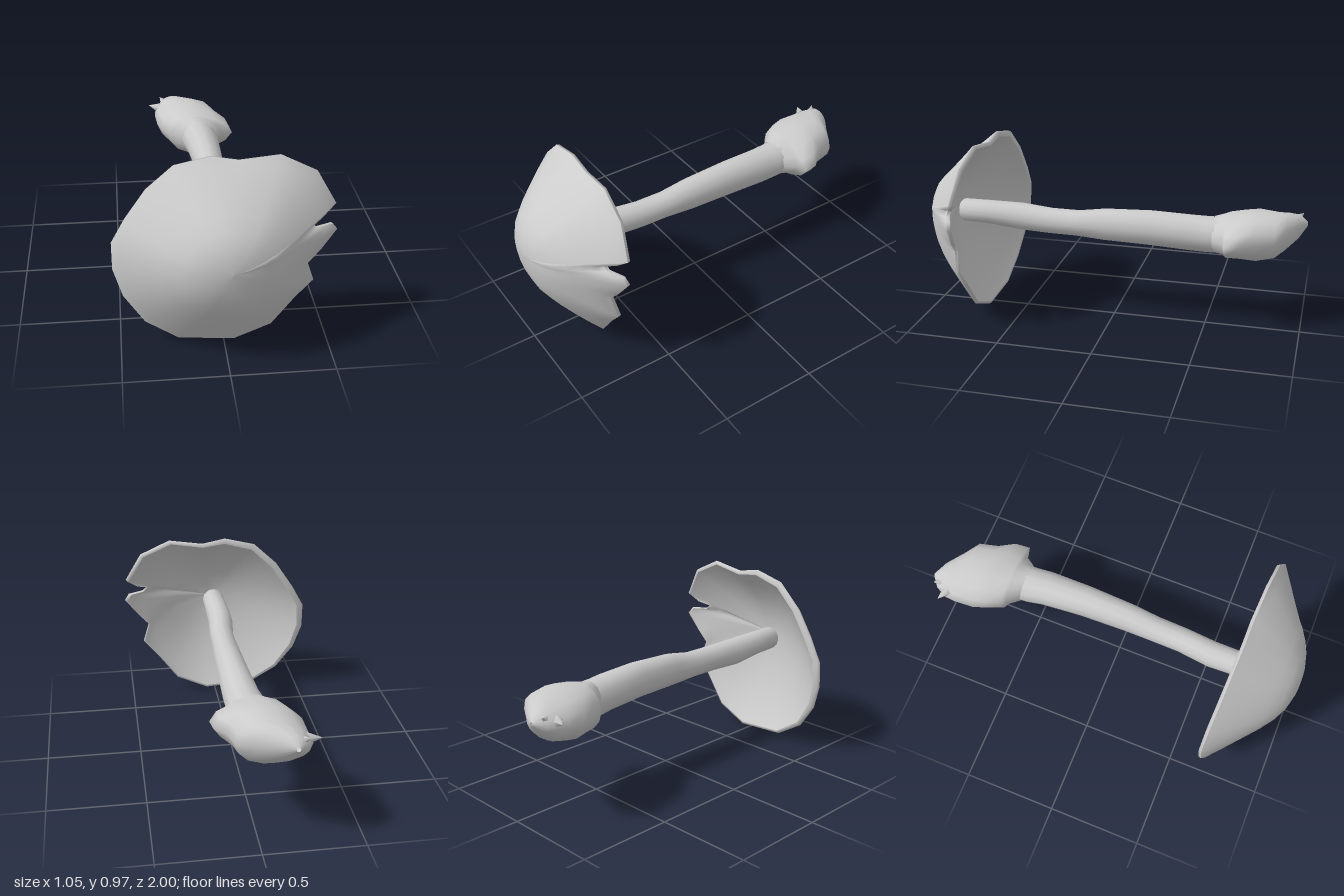
import * as THREE from 'three';

const material = new THREE.MeshStandardMaterial({ color: 0xcccccc, side: THREE.DoubleSide });

// Skin a list of equal-length closed rings (counter-clockwise seen from +z)
function loft(name, rings) {
  const n = rings[0].length, index = [];
  for (let i = 0; i < rings.length - 1; i++) {
    for (let j = 0; j < n; j++) {
      const k = (j + 1) % n, a = i * n, b = a + n;
      index.push(a + j, a + k, b + j, a + k, b + k, b + j);
    }
  }
  const geometry = new THREE.BufferGeometry().setFromPoints(rings.flat());
  geometry.setIndex(index);
  geometry.computeVertexNormals();
  const mesh = new THREE.Mesh(geometry, material);
  mesh.name = name;
  return mesh;
}

// Oval ring from its extents; wobble makes it uneven, lobe pushes out its +x side
function oval([z, x0, x1, y0, y1, lobe = 0], sides, wobble = 0) {
  return Array.from({ length: sides }, (_, j) => {
    const a = (j / sides) * Math.PI * 2, c = Math.cos(a);
    const r = 1 + wobble * Math.sin(a * 3 + z * 9);
    return new THREE.Vector3(
      (x0 + x1) / 2 + ((x1 - x0) / 2) * c * r + lobe * Math.max(c, 0) ** 3,
      (y0 + y1) / 2 + ((y1 - y0) / 2) * Math.sin(a) * r, z);
  });
}

// Ragged cap rim with the split on its left side
const rim = [
  [0.515, 0.73, 0.70], [0.425, 0.89, 0.675], [0.26, 0.97, 0.66], [0.07, 0.945, 0.65],
  [-0.06, 0.97, 0.65], [-0.23, 0.93, 0.645], [-0.36, 0.81, 0.64], [-0.46, 0.66, 0.635],
  [-0.525, 0.54, 0.635], [-0.525, 0.40, 0.645], [-0.48, 0.26, 0.665], [-0.38, 0.12, 0.685],
  [-0.22, 0.02, 0.695], [0.05, 0, 0.70], [0.23, 0.08, 0.705], [0.34, 0.23, 0.715],
  [0.425, 0.33, 0.725], [0.39, 0.435, 0.755], [0.45, 0.50, 0.74], [0.525, 0.60, 0.715],
  [0.50, 0.635, 0.725], [0.42, 0.637, 0.765], [0.39, 0.662, 0.765], [0.46, 0.685, 0.73],
];
const crown = [0.01, 0.55];

// Rim shrunk to t (less lip where it is wide) and rounding out towards the crown,
// raised by fraction h up to z = top, with a shallow dent on the left flank
function capRing(t, h, top, lift = 0, lip = 0) {
  return rim.map(([x, y, z]) => {
    const a = Math.atan2(y - 0.487, x);
    const s = t - lip * Math.max(0, Math.cos(a - 2.5)) * t;
    const px = THREE.MathUtils.lerp(0.52 * Math.cos(a), x, t * t);
    const py = THREE.MathUtils.lerp(0.487 + 0.48 * Math.sin(a), y, t * t);
    const vx = crown[0] + (px - crown[0]) * s, vy = crown[1] + (py - crown[1]) * s;
    const dent = 0.03 * Math.exp(-((vx - 0.3) ** 2 + (vy - 0.48) ** 2) / 0.03);
    return new THREE.Vector3(vx, vy, z + lift + (top - z - lift) * h - dent);
  });
}

function createCap() {
  const cap = new THREE.Group();
  cap.name = 'cap';
  const outer = [[1, 0], [0.93, 0.11], [0.84, 0.25], [0.72, 0.43], [0.57, 0.65], [0.43, 0.82], [0.3, 0.925], [0.15, 0.985], [0, 1]];
  const inner = [[0, 1], [0.2, 0.96], [0.4, 0.85], [0.6, 0.65], [0.78, 0.39], [0.9, 0.16], [0.97, 0]];
  cap.add(loft('capTop', outer.map(([t, h]) => capRing(t, h, 1, 0.015))));
  cap.add(loft('capUnderside', inner.map(([t, h]) => capRing(t, h, 0.87, 0, 0.05))));
  cap.add(loft('capLip', [capRing(0.97, 0, 1, 0, 0.05), capRing(0.99, 0, 1), capRing(1, 0, 1, 0.015)]));
  return cap;
}

export function createModel() {
  const model = new THREE.Group();
  model.name = 'mushroom';
  model.add(createCap());

  // Gently bent stem: z, x range, y range
  const stem = [
    [-0.64, -0.11, 0.09, 0.41, 0.60], [-0.5, -0.10, 0.095, 0.41, 0.60],
    [-0.42, -0.085, 0.10, 0.415, 0.605], [-0.2, -0.068, 0.095, 0.425, 0.615],
    [0.05, -0.06, 0.085, 0.43, 0.605], [0.2, -0.06, 0.075, 0.44, 0.58],
    [0.35, -0.062, 0.07, 0.44, 0.58], [0.52, -0.083, 0.055, 0.44, 0.59],
    [0.7, -0.08, 0.052, 0.46, 0.59], [0.85, -0.075, 0.05, 0.465, 0.59],
    [0.89, -0.045, 0.025, 0.495, 0.56],
  ].map((s) => oval(s, 12));
  model.add(loft('stem', stem));

  // Lumpy bulb at the foot of the stem, with a lobe on its left near the collar
  const bulb = [
    [-1, -0.165, -0.145, 0.54, 0.56], [-0.96, -0.215, -0.06, 0.48, 0.60],
    [-0.9, -0.24, 0.03, 0.43, 0.615], [-0.85, -0.24, 0.11, 0.40, 0.625],
    [-0.75, -0.235, 0.13, 0.375, 0.64], [-0.68, -0.215, 0.13, 0.385, 0.63, 0.055],
    [-0.605, -0.18, 0.12, 0.385, 0.62, 0.07], [-0.59, -0.15, 0.10, 0.395, 0.615, 0.03],
    [-0.53, -0.1, 0.09, 0.412, 0.60],
  ].map((s) => oval(s, 14, 0.03));
  model.add(loft('bulb', bulb));

  // Torn root stubs at the tip of the bulb
  const roots = [
    [-0.215, 0.55, -0.9, -0.28, 0.56, -0.925],
    [-0.18, 0.56, -0.94, -0.21, 0.59, -0.975],
  ];
  for (const [x, y, z, tx, ty, tz] of roots) {
    const base = new THREE.Vector3(x, y, z), dir = new THREE.Vector3(tx, ty, tz).sub(base);
    const root = new THREE.Mesh(new THREE.ConeGeometry(0.03, dir.length(), 5), material);
    root.name = 'rootStub';
    root.position.copy(base).addScaledVector(dir, 0.5);
    root.quaternion.setFromUnitVectors(new THREE.Vector3(0, 1, 0), dir.normalize());
    model.add(root);
  }
  return model;
}
